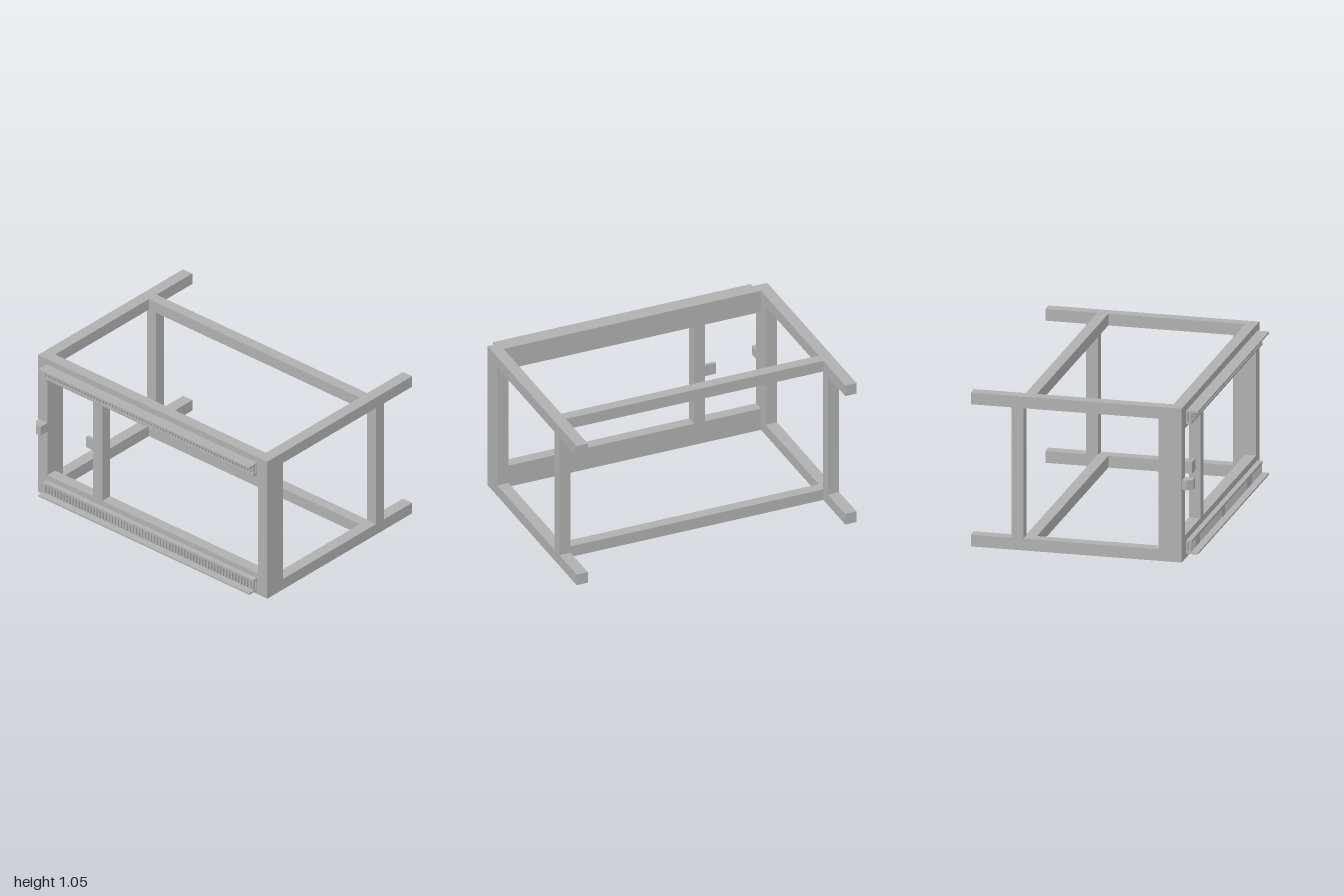
import * as THREE from 'three';
import { mergeGeometries } from 'three/addons/utils/BufferGeometryUtils.js';

const H = 1.05;
const steel = new THREE.MeshStandardMaterial({ color: 0xb0b0b0 });
steel.name = 'grey steel';

// Box geometry given by its limits on each axis
function span([x0, x1], [y0, y1], [z0, z1]) {
  return new THREE.BoxGeometry(x1 - x0, y1 - y0, z1 - z0)
    .translate((x0 + x1) / 2, (y0 + y1) / 2, (z0 + z1) / 2);
}

export function createModel() {
  const model = new THREE.Group();
  model.name = 'frame';
  const add = (name, geometry) => {
    const mesh = new THREE.Mesh(geometry, steel);
    mesh.name = name;
    model.add(mesh);
  };
  const inner = [-0.92, 0.92];

  // Side frames: front post, rear post, top and bottom rails
  for (const [side, x] of [['left', [0.92, 1]], ['right', [-1, -0.92]]]) {
    add(side + 'FrontPost', span(x, [0, H], [0.512, 0.667]));
    add(side + 'RearPost', span(x, [0.08, 0.97], [-0.48, -0.4]));
    add(side + 'TopRail', span(x, [0.97, H], [-0.755, 0.512]));
    add(side + 'BottomRail', span(x, [0, 0.08], [-0.755, 0.512]));
  }

  // Cross beams
  add('frontTopBeam', span(inner, [0.89, H], [0.59, 0.667]));
  add('frontBottomBeam', span(inner, [0, 0.16], [0.59, 0.667]));
  add('rearTopBeam', span(inner, [0.97, H], [-0.405, -0.33]));
  add('rearBottomBeam', span(inner, [0, 0.08], [-0.405, -0.33]));

  // Intermediate front post with its small plate
  add('middlePost', span([-0.52, -0.44], [0.16, 0.89], [0.59, 0.667]));
  add('middlePlate', span([-0.61, -0.52], [0.487, 0.567], [0.612, 0.634]));

  // Chamfered latch on the right front post (plan outline, extruded upwards)
  const outline = new THREE.Shape([
    [-0.993, 0.667], [-0.92, 0.667], [-0.92, 0.735], [-0.96, 0.735], [-0.993, 0.697],
  ].map(([x, z]) => new THREE.Vector2(x, -z)));
  const latch = new THREE.ExtrudeGeometry(outline, { depth: 0.067, bevelEnabled: false });
  add('latch', latch.rotateX(-Math.PI / 2).translate(0, 0.493, 0));

  // Slotted channels: flange, web, lip and a row of small bars
  const count = 70;
  const pitch = 1.84 / count;
  for (const top of [true, false]) {
    const ys = (a, b) => (top ? [a, b] : [H - b, H - a]);
    const name = top ? 'upper' : 'lower';
    add(name + 'ChannelFlange', span(inner, ys(1.001, 1.013), [0.676, 0.755]));
    add(name + 'ChannelWeb', span(inner, ys(0.938, 1.001), [0.676, 0.684]));
    add(name + 'ChannelLip', span(inner, ys(0.922, 0.938), [0.676, 0.711]));
    const bars = [];
    for (let i = 0; i < count; i++) {
      const x = -0.92 + (i + 0.5) * pitch;
      bars.push(span([x - 0.0075, x + 0.0075], ys(0.938, 1.001), [0.692, 0.708]));
    }
    add(name + 'ChannelBars', mergeGeometries(bars));
  }
  return model;
}
